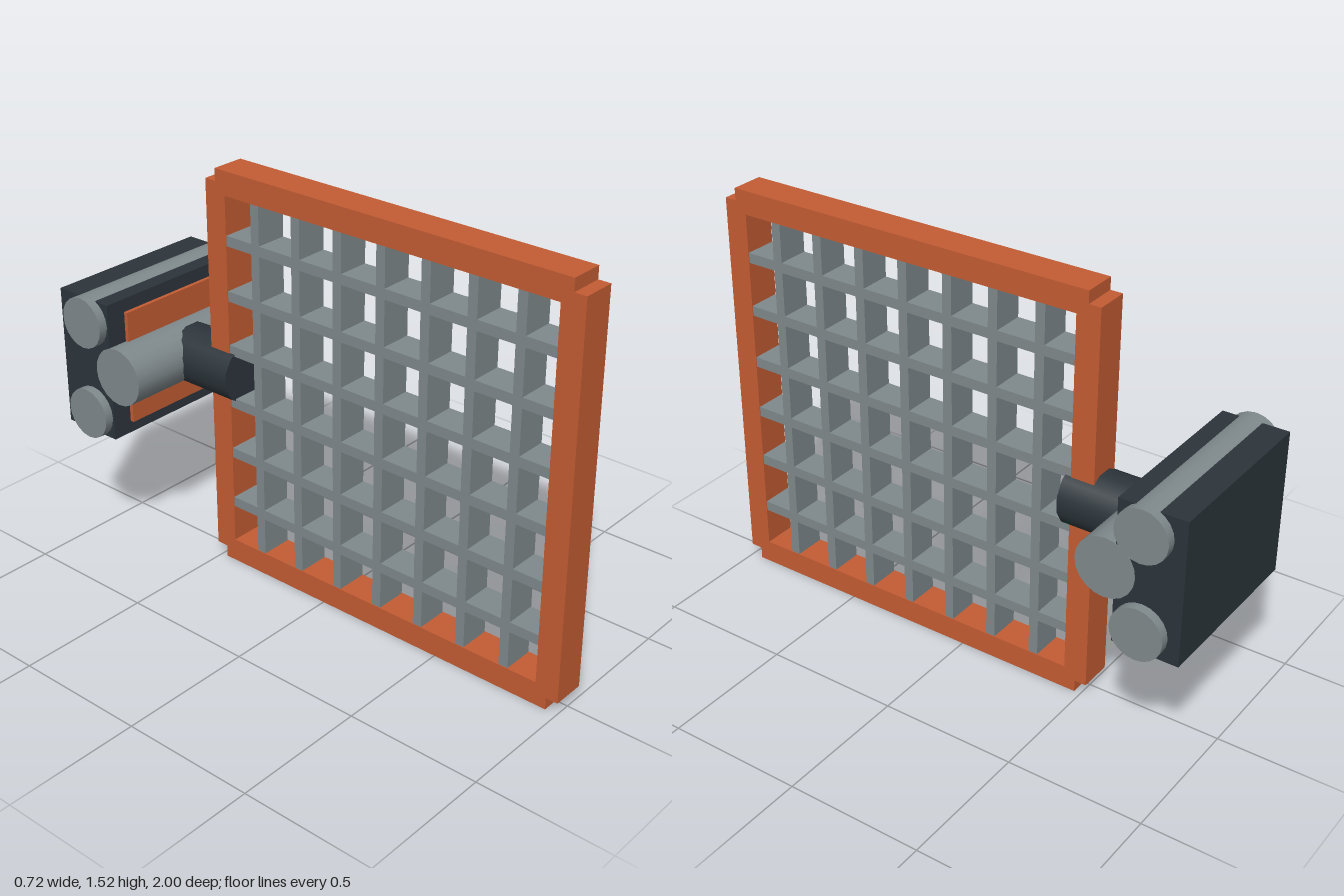
import * as THREE from 'three';

const material = (name, color) => {
  const m = new THREE.MeshStandardMaterial({ color });
  m.name = name;
  return m;
};

export function createModel() {
  const group = new THREE.Group();
  const orange = material('orange', 0xc45c33);
  const grey = material('grey', 0x7f898c);
  const dark = material('charcoal', 0x2c353b);

  const add = (name, geometry, mat, x, y, z) => {
    const mesh = new THREE.Mesh(geometry, mat);
    mesh.name = name;
    mesh.position.set(x, y, z);
    group.add(mesh);
    return mesh;
  };
  const box = (name, w, h, d, mat, x, y, z) =>
    add(name, new THREE.BoxGeometry(w, h, d), mat, x, y, z);
  const roller = (name, r, length, y, z) =>
    add(name, new THREE.CylinderGeometry(r, r, length, 20).rotateZ(Math.PI / 2), grey, 0, y, z);

  // Square frame with notched corners, drawn around its own centre
  const midY = 0.76, midZ = 0.24;
  const out = 0.76, notch = 0.715, hole = 0.672;
  const corner = [[notch, out], [notch, notch], [out, notch]];
  const outline = [];
  for (let i = 0; i < 4; i++) {
    const a = -i * Math.PI / 2;
    for (const [u, v] of corner) {
      outline.push(new THREE.Vector2(u, v).rotateAround(new THREE.Vector2(), a));
    }
  }
  const shape = new THREE.Shape(outline);
  shape.holes.push(new THREE.Path([[-hole, -hole], [hole, -hole], [hole, hole], [-hole, hole]]
    .map(([u, v]) => new THREE.Vector2(u, v))));
  const frame = new THREE.ExtrudeGeometry(shape, { depth: 0.125, bevelEnabled: false });
  frame.translate(0, 0, -0.0625).rotateY(-Math.PI / 2);
  add('frame', frame, orange, 0, midY, midZ);

  // Lattice filling the frame
  for (let i = 0; i < 7; i++) {
    box('verticalSlat', 0.12, hole * 2, 0.036, grey, 0, midY, midZ + (i - 3) * 0.18);
  }
  for (let i = 0; i < 6; i++) {
    box('horizontalSlat', 0.12, 0.038, hole * 2, grey, 0, midY + (i - 2.5) * 0.204, midZ);
  }

  // Arm joining the frame to the cross roller
  const arm = new THREE.CylinderGeometry(0.112, 0.112, 0.27, 12);
  arm.rotateY(Math.PI / 12).rotateX(Math.PI / 2);
  add('arm', arm, dark, 0, midY, -0.545);
  roller('crossRoller', 0.108, 0.655, midY, -0.725);

  // Rear block with its front plate and side rollers
  box('rearBlock', 0.65, 0.525, 0.24, dark, 0, 0.762, -0.88);
  box('frontPlate', 0.495, 0.43, 0.03, orange, 0, midY, -0.76);
  for (const s of [-1, 1]) {
    roller('blockRoller', 0.095, 0.716, 0.762 + s * 0.178, -0.862);
  }
  return group;
}
